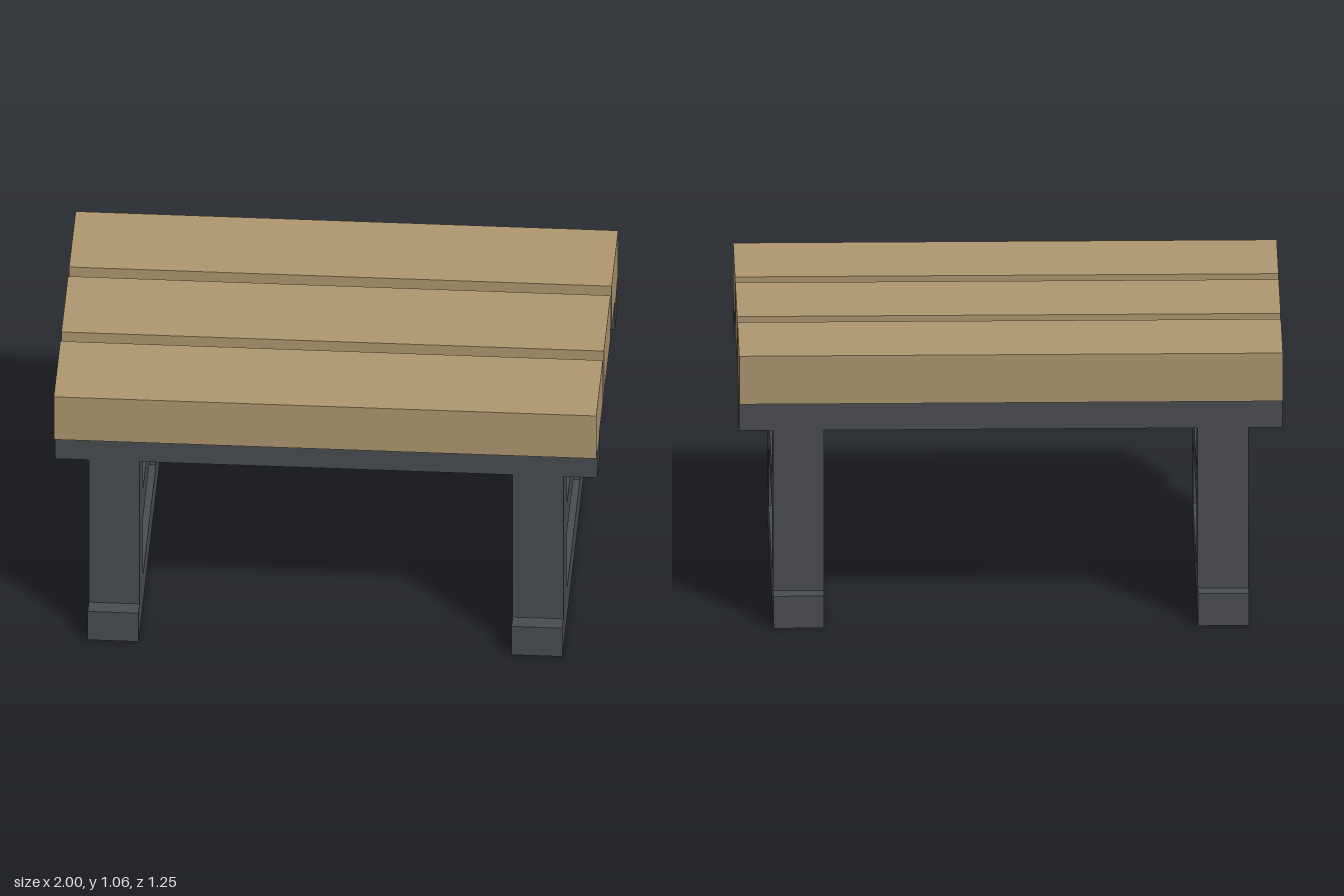
import * as THREE from 'three';

export function createModel() {
  const model = new THREE.Group();
  model.name = 'slattedBench';
  const wood = new THREE.MeshStandardMaterial({ name: 'tanWood', color: 0xb09872 });
  const frame = new THREE.MeshStandardMaterial({ name: 'darkGreyFrame', color: 0x4a4d51 });

  // Box given by its size, centre x, bottom y and centre z
  function box(parent, name, material, [w, h, d], x, bottom, z) {
    const mesh = new THREE.Mesh(new THREE.BoxGeometry(w, h, d), material);
    mesh.name = name;
    mesh.position.set(x, bottom + h / 2, z);
    parent.add(mesh);
  }

  // Three seat slats with gaps between
  for (const [name, z] of [['frontSlat', 0.4375], ['middleSlat', 0], ['backSlat', -0.4375]]) {
    box(model, name, wood, [2, 0.1875, 0.375], 0, 0.875, z);
  }

  // Long rails under the outer slats
  for (const [name, z] of [['frontRail', 0.5], ['backRail', -0.5]]) {
    box(model, name, frame, [2, 0.125, 0.125], 0, 0.75, z);
  }

  // Leg frames: foot, two posts and a crossbar
  const legWidth = 0.1875;
  for (const [name, x] of [['leftLegFrame', 0.78125], ['rightLegFrame', -0.78125]]) {
    const leg = new THREE.Group();
    leg.name = name;
    leg.position.x = x;
    box(leg, 'foot', frame, [legWidth, 0.125, 1.25], 0, 0, 0);
    box(leg, 'frontPost', frame, [legWidth, 0.625, 0.1875], 0, 0.125, 0.46875);
    box(leg, 'backPost', frame, [legWidth, 0.625, 0.1875], 0, 0.125, -0.46875);
    box(leg, 'crossbar', frame, [legWidth, 0.125, 0.75], 0, 0.375, 0);
    model.add(leg);
  }
  return model;
}
